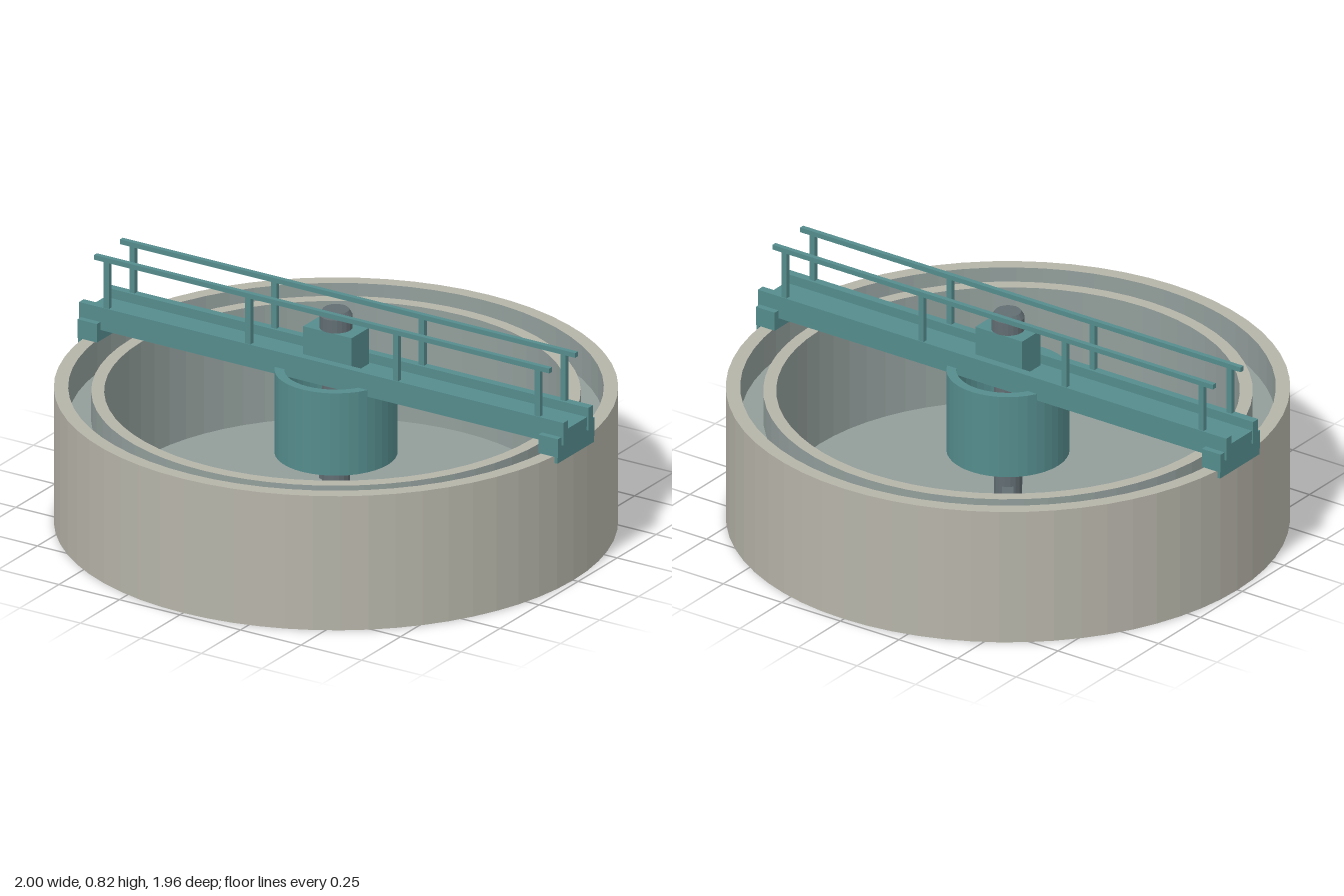
import * as THREE from 'three';

const mat = (color, extra = {}) => new THREE.MeshStandardMaterial({ color, ...extra });

export function createModel() {
  const model = new THREE.Group();
  const concrete = mat(0xb6b4a9, { flatShading: true });
  const lining = mat(0x929e9b, { flatShading: true });
  const teal = mat(0x558c8d);
  const tealRound = mat(0x558c8d, { flatShading: true });
  const steel = mat(0x626e73);
  const steelRound = mat(0x626e73, { flatShading: true });

  const add = (name, geometry, material, x = 0, y = 0, z = 0, parent = model) => {
    const mesh = new THREE.Mesh(geometry, material);
    mesh.name = name;
    mesh.position.set(x, y, z);
    parent.add(mesh);
    return mesh;
  };
  // Box given by its extents along each axis
  const box = (name, material, [x0, x1], [y0, y1], [z0, z1], parent) =>
    add(name, new THREE.BoxGeometry(x1 - x0, y1 - y0, z1 - z0), material,
      (x0 + x1) / 2, (y0 + y1) / 2, (z0 + z1) / 2, parent);
  const lathe = (points, segments) =>
    new THREE.LatheGeometry(points.map(([r, y]) => new THREE.Vector2(r, y)), segments);

  // Round tank: outer shell, overflow trough, weir crest and inner basin, edge to edge
  add('tankShell', lathe([[0, 0], [0.98, 0], [0.98, 0.505], [0.93, 0.505]], 64), concrete);
  add('troughLining', lathe([[0.93, 0.505], [0.93, 0.38], [0.85, 0.38], [0.85, 0.49]], 64), lining);
  add('weirCrest', lathe([[0.85, 0.49], [0.805, 0.49]], 64), concrete);
  add('basinLining', lathe([[0.805, 0.49], [0.805, 0.05], [0, 0.05]], 64), lining);

  // Open feed well hanging under the bridge
  add('feedWell', lathe([
    [0.18, 0.26], [0.214, 0.26], [0.214, 0.57], [0.18, 0.57], [0.18, 0.26],
  ], 40), tealRound);
  add('driveShaft', new THREE.CylinderGeometry(0.05, 0.05, 0.54, 16), steelRound, 0, 0.32);

  // Rotating rake: one long arm with angled scraper blades
  const rake = new THREE.Group();
  rake.name = 'rake';
  rake.rotation.y = -Math.atan2(0.57, 0.4);
  model.add(rake);
  box('rakeArm', steel, [-0.69, 0.69], [0.1, 0.14], [-0.02, 0.02], rake);
  for (const side of [-1, 1]) {
    for (const r of [0.2, 0.4, 0.6]) {
      const blade = add('scraperBlade', new THREE.BoxGeometry(0.15, 0.06, 0.018), steel,
        side * r, 0.085, 0, rake);
      blade.rotation.y = 0.6;
    }
  }

  // Walkway bridge: deck between two girders
  const bridge = new THREE.Group();
  bridge.name = 'bridge';
  model.add(bridge);
  box('deck', teal, [-0.995, 0.995], [0.56, 0.595], [-0.07, 0.07], bridge);
  for (const s of [-1, 1]) {
    add('girder', new THREE.BoxGeometry(2, 0.085, 0.03), teal, 0, 0.5875, s * 0.08, bridge);
    add('handrail', new THREE.BoxGeometry(1.88, 0.018, 0.018), teal, 0, 0.811, s * 0.083, bridge);
    for (const x of [-0.89, -0.305, 0.305, 0.89]) {
      add('railPost', new THREE.BoxGeometry(0.022, 0.18, 0.018), teal, x, 0.715, s * 0.083, bridge);
    }
    // Saddle resting on the rim, with a lip over the outer face
    add('saddle', new THREE.BoxGeometry(0.08, 0.07, 0.235), teal, s * 0.952, 0.54, 0, bridge);
    add('saddleLip', new THREE.BoxGeometry(0.012, 0.025, 0.235), teal, s * 0.984, 0.4945, 0, bridge);
  }

  // Drive unit on the middle of the bridge
  box('gearbox', teal, [-0.1, 0.1], [0.59, 0.73], [-0.055, 0.055]);
  add('motor', lathe([
    [0, 0.73], [0.058, 0.73], [0.058, 0.778], [0.046, 0.798], [0, 0.798],
  ], 20), steelRound);

  return model;
}
